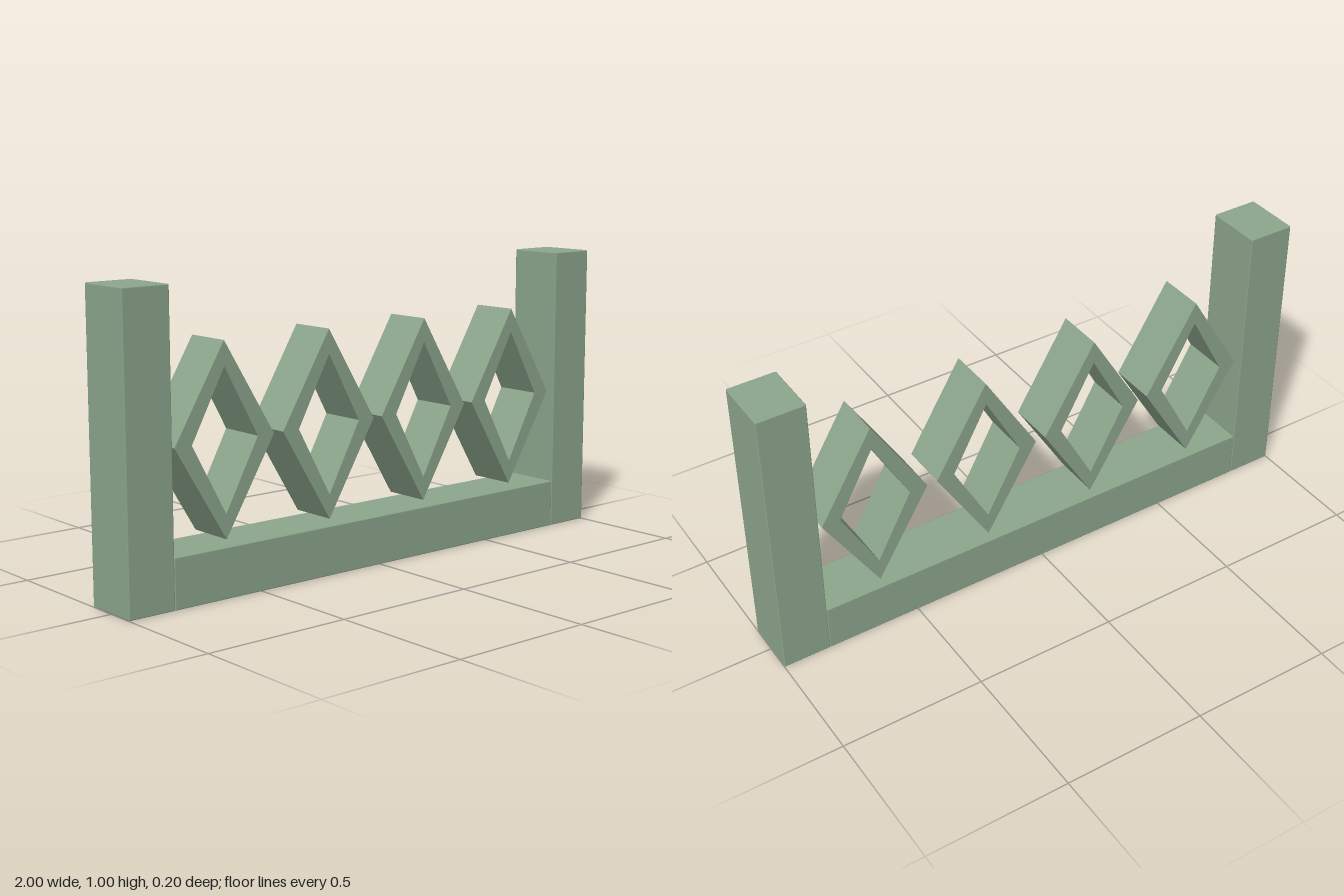
import * as THREE from 'three';
import { RoundedBoxGeometry } from 'three/addons/geometries/RoundedBoxGeometry.js';

const POST = 1 / 6;      // post width and rail height
const DEPTH = 0.2;
const PANEL_DEPTH = 0.167;

// Four corners of a diamond centred on the origin
const diamond = (w, h) => [[w, 0], [0, h], [-w, 0], [0, -h]].map(([x, y]) => new THREE.Vector2(x, y));

export function createModel() {
  const group = new THREE.Group();
  const green = new THREE.MeshStandardMaterial({ color: 0x8ca58c });
  green.name = 'sage green';

  const add = (name, geometry, x, y) => {
    const mesh = new THREE.Mesh(geometry, green);
    mesh.name = name;
    mesh.position.set(x, y, 0);
    group.add(mesh);
  };

  // Beam with finely eased edges
  const beam = (w, h) => new RoundedBoxGeometry(w, h, DEPTH, 1, 0.004);

  // End posts and the rail between them
  add('leftPost', beam(POST, 1), 1 - POST / 2, 0.5);
  add('rightPost', beam(POST, 1), -1 + POST / 2, 0.5);
  add('bottomRail', beam(2 - 2 * POST, POST), 0, POST / 2);

  // Row of open diamond frames floating above the rail
  const shape = new THREE.Shape(diamond(0.19, 0.313));
  shape.holes.push(new THREE.Path(diamond(0.126, 0.232).reverse()));
  const frame = new THREE.ExtrudeGeometry(shape, { depth: PANEL_DEPTH, bevelEnabled: false });
  frame.translate(0, 0, -PANEL_DEPTH / 2);
  for (let i = 0; i < 4; i++) add(`diamondFrame${i + 1}`, frame, (i - 1.5) * 0.4167, 0.5);

  return group;
}
